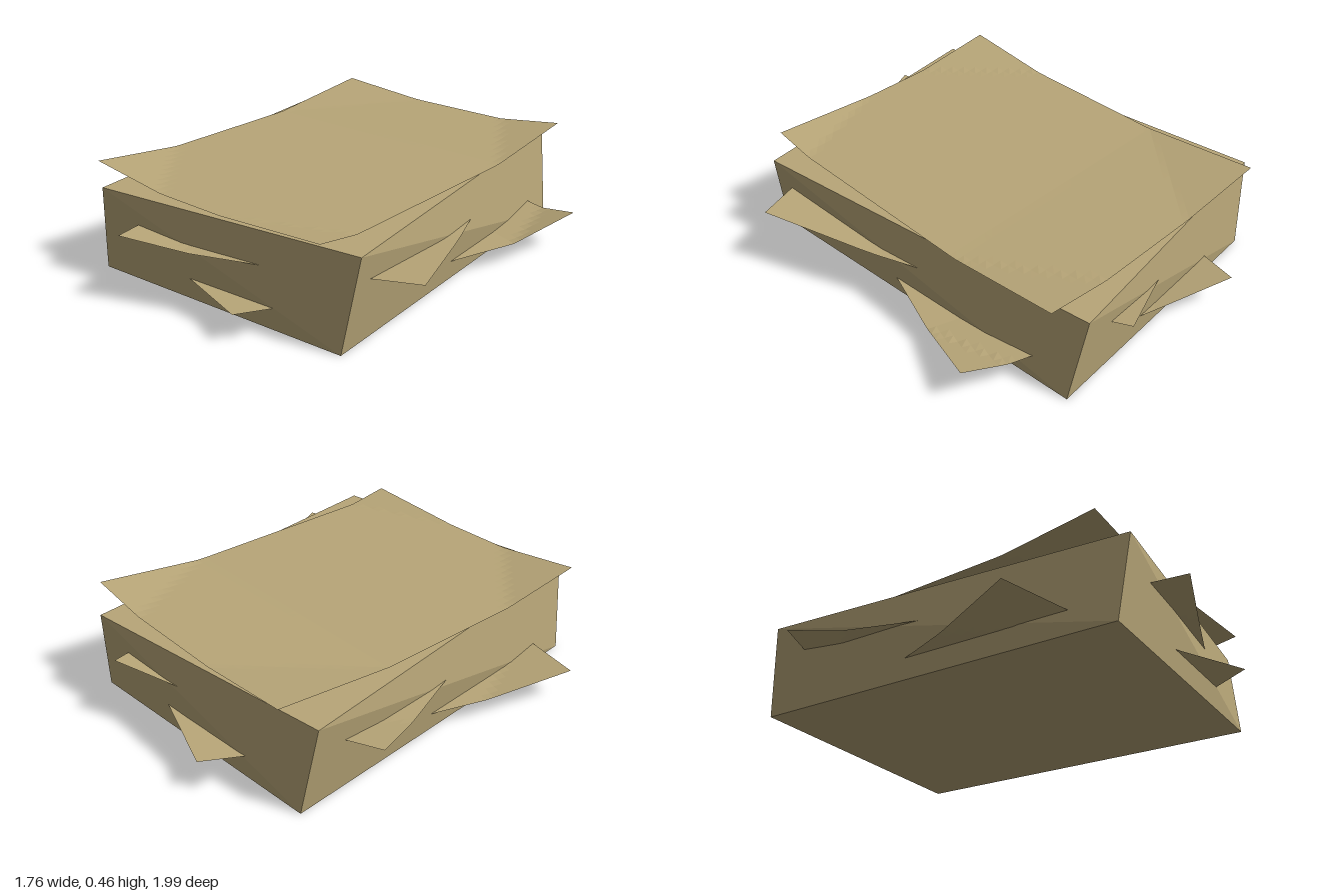
import * as THREE from 'three';

const HALF_W = 0.61, HALF_L = 0.82, STACK_H = 0.385;
const WIDE = 20; // fold length that lifts a whole edge instead of one corner
const deg = THREE.MathUtils.degToRad;

// Thick stack of paper: a block whose top is twisted against its base
function stackGeometry() {
  const corners = [[-1, -1], [-1, 1], [1, 1], [1, -1]];
  const positions = [];
  for (const [y, angle] of [[0, 0], [STACK_H, deg(-4)]]) {
    const c = Math.cos(angle), s = Math.sin(angle);
    for (const [sx, sz] of corners) {
      const u = sx * HALF_W, v = sz * HALF_L;
      positions.push(u * c - v * s, y, u * s + v * c);
    }
  }
  const index = [0, 2, 1, 0, 3, 2, 4, 5, 6, 4, 6, 7];
  for (let i = 0; i < 4; i++) {
    const j = (i + 1) % 4;
    index.push(i, j, i + 4, j, j + 4, i + 4);
  }
  const g = new THREE.BufferGeometry();
  g.setAttribute('position', new THREE.Float32BufferAttribute(positions, 3));
  g.setIndex(index);
  g.computeVertexNormals();
  return g;
}

// Sheet with lifted corners; fold = [x side, z side, reach in x, reach in z, height]
function sheetGeometry(folds) {
  const g = new THREE.PlaneGeometry(2 * HALF_W, 2 * HALF_L, 32, 40);
  g.rotateX(-Math.PI / 2);
  const p = g.attributes.position;
  for (let i = 0; i < p.count; i++) {
    let y = 0;
    for (const [sx, sz, reachX, reachZ, height] of folds) {
      const du = HALF_W - sx * p.getX(i), dv = HALF_L - sz * p.getZ(i);
      y += height * Math.max(0, 1 - du / reachX - dv / reachZ);
    }
    p.setY(i, y);
  }
  g.computeVertexNormals();
  return g;
}

export function createModel() {
  const model = new THREE.Group();
  model.name = 'paperStack';
  const paper = new THREE.MeshStandardMaterial({ color: 0xb8a678 });
  paper.name = 'agedPaper';
  paper.side = THREE.DoubleSide;
  paper.flatShading = true;

  const stack = new THREE.Mesh(stackGeometry(), paper);
  stack.name = 'stack';
  model.add(stack);

  // Loose sheets: one on top, two sticking out of the sides
  const sheets = [
    { name: 'topSheet', at: [0, 0.403, 0], turn: 4, folds: [
      [-1, -1, WIDE, 0.54, 0.023], [-1, -1, 0.43, 0.54, 0.034], [1, -1, 0.3, 0.5, 0.04],
      [1, 1, 0.5, 0.2, 0.032], [-1, 1, 0.39, 0.42, 0.047]] },
    { name: 'middleSheet', at: [0.02, 0.23, 0.03], turn: -16.8, folds: [
      [-1, 1, WIDE, 0.5, 0.022], [-1, 1, 0.3, 0.4, 0.028], [1, 1, 0.6, 0.55, 0.025],
      [-1, -1, 0.5, 0.25, 0.035], [1, -1, 0.5, 0.4, 0.046]] },
    { name: 'lowerSheet', at: [0, 0.088, -0.01], turn: 22.8, folds: [
      [1, -1, WIDE, 0.33, 0.024], [1, -1, 0.2, 0.33, 0.048], [-1, -1, 0.4, 0.35, 0.028],
      [-1, 1, 0.4, 0.4, 0.044], [1, 1, 0.5, 0.25, 0.03]] },
  ];
  for (const { name, at, turn, folds } of sheets) {
    const sheet = new THREE.Mesh(sheetGeometry(folds), paper);
    sheet.name = name;
    sheet.position.set(...at);
    sheet.rotation.y = -deg(turn);
    model.add(sheet);
  }
  return model;
}
